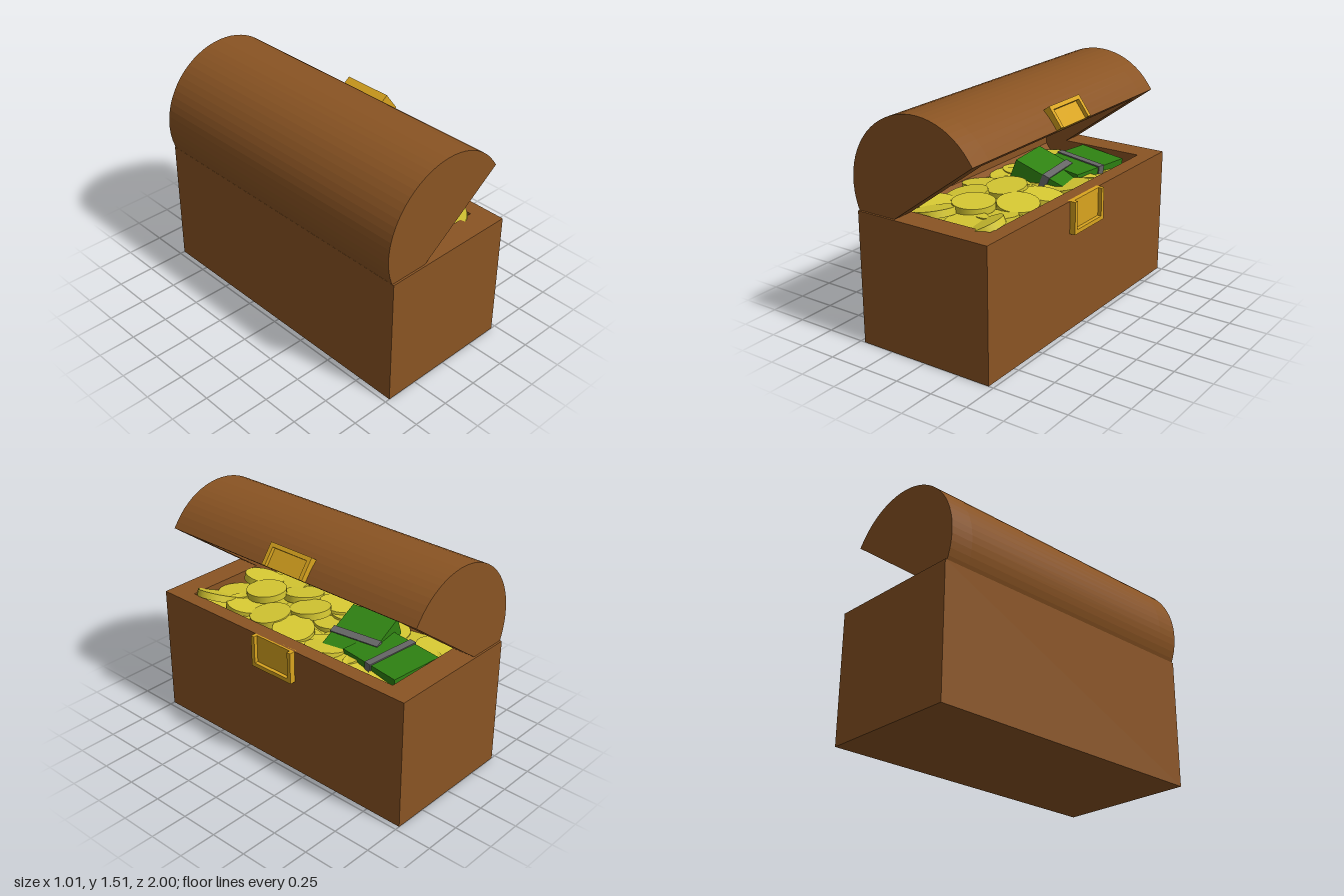
import * as THREE from 'three';

const mat = (color, side = THREE.FrontSide) => new THREE.MeshStandardMaterial({ color, side });
const wood = mat(0x8a5423);
const gold = mat(0xd9a41f);
const coinGold = mat(0xd6c832);
const green = mat(0x2f8212);
const grey = mat(0x666666);

function add(parent, name, geometry, material, x = 0, y = 0, z = 0) {
  const mesh = new THREE.Mesh(geometry, material);
  mesh.name = name;
  mesh.position.set(x, y, z);
  parent.add(mesh);
  return mesh;
}

function group(parent, name) {
  const g = new THREE.Group();
  g.name = name;
  parent.add(g);
  return g;
}

const box = (w, h, d) => new THREE.BoxGeometry(w, h, d);
const extrude = (shape, depth) =>
  new THREE.ExtrudeGeometry(shape, { depth, bevelEnabled: false, curveSegments: 16 });

// Open box: a ring of walls with a floor inside
function buildBody(root) {
  const body = group(root, 'body');
  const rect = (s, x, z) => s.moveTo(-x, -z).lineTo(x, -z).lineTo(x, z).lineTo(-x, z).closePath();
  const ring = rect(new THREE.Shape(), 0.467, 1);
  ring.holes.push(rect(new THREE.Path(), 0.365, 0.835));
  add(body, 'walls', extrude(ring, 0.86), wood).rotation.x = -Math.PI / 2;
  add(body, 'floor', box(0.73, 0.1, 1.67), wood, 0, 0.05, 0);
}

// Three-sided raised frame on a thin plate; openSide is +1 (top) or -1 (bottom)
function buildClasp(parent, name, height, openSide) {
  const clasp = group(parent, name);
  add(clasp, 'plate', box(0.03, height, 0.33), gold);
  for (const s of [-1, 1])
    add(clasp, 'sideFrame', box(0.025, height, 0.027), gold, 0.0275, 0, s * 0.1515);
  add(clasp, 'crossFrame', box(0.025, 0.027, 0.276), gold, 0.0275, -openSide * (height / 2 - 0.0135), 0);
  return clasp;
}

// Barrel lid with a box-shaped cavity, tipped open
function buildLid(root) {
  const lid = group(root, 'lid');
  lid.position.set(-0.036, 1.04, 0);
  lid.rotation.z = 0.637;
  const r = 0.467, rim = -0.047, end = 0.987, inner = 0.835;
  const outline = () => {
    const s = new THREE.Shape();
    s.moveTo(r, rim).lineTo(r, 0);
    s.absarc(0, 0, r, 0, Math.PI, false);
    return s.lineTo(-r, rim);
  };
  const shell = outline();
  for (const [x, y] of [[-0.4, rim], [-0.4, 0.16], [0.4, 0.16], [0.4, rim]]) shell.lineTo(x, y);
  add(lid, 'lidShell', extrude(shell, 2 * inner), wood, 0, 0, -inner);
  for (const z of [-end, inner]) add(lid, 'lidEnd', extrude(outline(), end - inner), wood, 0, 0, z);
  buildClasp(lid, 'lidClasp', 0.147, -1).position.set(0.465, 0.0265, 0);
}

// Bundle of notes with a band around its middle
function buildBundle(root, [x, y, z], [rx, ry, rz], [w, h, d], alongX) {
  const bundle = group(root, 'noteBundle');
  bundle.position.set(x, y, z);
  bundle.rotation.set(rx, ry, rz);
  add(bundle, 'notes', box(w, h, d), green);
  add(bundle, 'band', alongX ? box(w + 0.016, h + 0.016, 0.05) : box(0.05, h + 0.016, d + 0.016), grey);
}

function buildCoins(root) {
  const coins = group(root, 'coins');
  const geometry = new THREE.CylinderGeometry(0.133, 0.133, 0.045, 24);
  const coin = (x, y, z, rx, rz) => add(coins, 'coin', geometry, coinGold, x, y, z).rotation.set(rx, 0, rz);

  // Top layer: x, y, z, tilt about x, tilt about z
  [
    [0.015, 0.855, 0.52, 0.04, -0.02],
    [0.25, 0.835, 0.74, 0.1, 0.42],
    [-0.14, 0.83, 0.7, -0.1, 0.22],
    [0.1, 0.81, 0.7, 0.08, 0.05],
    [0.19, 0.82, 0.31, 0.1, -0.1],
    [-0.01, 0.84, 0.15, 0.12, 0.05],
    [0.22, 0.81, 0.08, -0.1, -0.12],
    [0.19, 0.81, 0.53, -0.12, 0.1],
    [-0.16, 0.82, 0.35, 0.1, 0.15],
    [0.23, 0.79, -0.2, 0.05, 0.2],
    [-0.23, 0.8, 0.55, 0.05, -0.1],
    [-0.23, 0.8, 0.1, -0.1, 0.1],
  ].forEach((c) => coin(...c));

  // Filling underneath
  let seed = 7;
  const rand = () => ((seed = (seed * 16807) % 2147483647) / 2147483647) * 2 - 1;
  for (let layer = 0; layer < 5; layer++)
    for (let i = 0; i < 4; i++)
      for (let j = 0; j < 9; j++)
        coin(-0.225 + i * 0.15 + rand() * 0.01, 0.76 - layer * 0.06 + rand() * 0.02,
          -0.68 + j * 0.17 + rand() * 0.02, rand() * 0.15, rand() * 0.15);
}

export function createModel() {
  const root = new THREE.Group();
  root.name = 'treasureChest';
  buildBody(root);
  buildLid(root);
  buildClasp(root, 'bodyClasp', 0.21, 1).position.set(0.465, 0.755, 0);
  buildCoins(root);
  buildBundle(root, [0.05, 0.79, -0.3], [0, 0.12, -0.36], [0.46, 0.13, 0.33], false);
  buildBundle(root, [0.07, 0.78, -0.58], [0, -0.15, -0.06], [0.35, 0.13, 0.46], true);
  return root;
}
